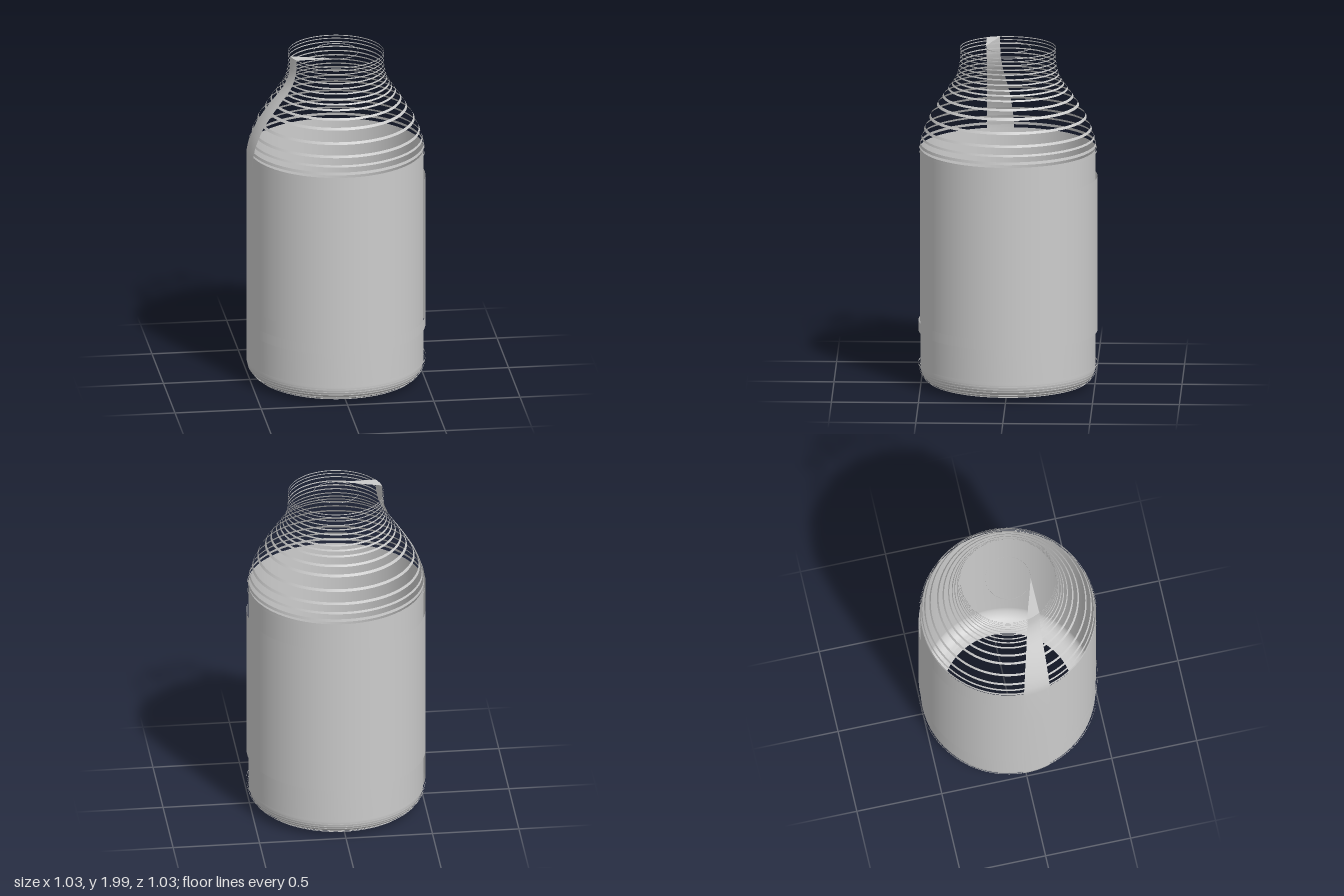
import * as THREE from 'three';

const material = new THREE.MeshStandardMaterial({ color: 0xcccccc, side: THREE.DoubleSide });

// Surface of revolution through [radius, y] points, optionally a partial arc.
function revolve(name, points, start = 0, end = Math.PI * 2, segments = 96) {
  const profile = points.map(([r, y]) => new THREE.Vector2(r, y));
  const mesh = new THREE.Mesh(new THREE.LatheGeometry(profile, segments, start, end - start), material);
  mesh.name = name;
  return mesh;
}

// Ribbon that hugs the round body on the -x side; rows are [radius, y, zMin, zMax].
function ribbon(name, rows, across = 8) {
  const positions = [], indices = [];
  rows.forEach(([r, y, z0, z1], row) => {
    for (let i = 0; i <= across; i++) {
      const z = z0 + (z1 - z0) * i / across;
      positions.push(-Math.sqrt(Math.max(0, r * r - z * z)), y, z);
      if (row && i) {
        const d = row * (across + 1) + i, c = d - 1, b = d - across - 1, a = b - 1;
        indices.push(a, b, c, b, d, c);
      }
    }
  });
  const geometry = new THREE.BufferGeometry();
  geometry.setAttribute('position', new THREE.Float32BufferAttribute(positions, 3));
  geometry.setIndex(indices);
  geometry.computeVertexNormals();
  const mesh = new THREE.Mesh(geometry, material);
  mesh.name = name;
  return mesh;
}

export function createModel() {
  const model = new THREE.Group();
  model.name = 'bottle';

  // Open body shell with a rounded base and a hole underneath
  const shell = [[0.38, 0.015], [0.41, 0.016]];
  for (let i = 0; i <= 8; i++) {
    const a = (i / 8) * Math.PI / 2;
    shell.push([0.41 + 0.093 * Math.sin(a), 0.11 - 0.092 * Math.cos(a)]);
  }
  shell.push([0.503, 0.4], [0.503, 1.0], [0.503, 1.395]);
  model.add(revolve('body', shell));

  // Wrapped panels just proud of the body
  model.add(
    revolve('backPanel', [[0.514, 0.32], [0.514, 1.23]], 1.3, 4.67, 64),
    revolve('lowerBand', [[0.514, 0.32], [0.514, 0.38]], -1.31, 1.3, 64),
    revolve('frontPanel', [[0.506, 0.38], [0.506, 1.39]], -0.82, 1.3, 48),
    revolve('sidePanel', [[0.507, 0.47], [0.507, 1.39]], -1.3, -0.87, 16)
  );

  // Thin rings tracing the shoulder and neck: [radius, y, height, inward lean]
  const rings = new THREE.Group();
  rings.name = 'shoulderRings';
  [
    [0.512, 1.385, 0.01, 0], [0.507, 1.42, 0.016, 0.003], [0.498, 1.463, 0.012, 0.005],
    [0.482, 1.515, 0.014, 0.007], [0.452, 1.585, 0.014, 0.008], [0.408, 1.657, 0.014, 0.009],
    [0.376, 1.705, 0.012, 0.008], [0.344, 1.75, 0.01, 0.006], [0.323, 1.777, 0.009, 0.005],
    [0.308, 1.803, 0.009, 0.004], [0.294, 1.832, 0.008, 0.003], [0.286, 1.862, 0.008, 0.002],
    [0.28, 1.89, 0.008, 0.001], [0.277, 1.917, 0.007, 0], [0.276, 1.945, 0.006, 0],
    [0.275, 1.967, 0.005, 0], [0.275, 1.985, 0.005, 0], [0.13, 1.987, 0.004, 0]
  ].forEach(([r, y, h, lean]) =>
    rings.add(revolve('ring', [[r, y - h / 2], [r - lean, y + h / 2]])));
  model.add(rings);

  // Fine ridges around the rounded base
  const ridges = new THREE.Group();
  ridges.name = 'baseRidges';
  [[0.515, 0.127, 0.008], [0.511, 0.1, 0.004], [0.506, 0.083, 0.004], [0.498, 0.066, 0.004],
    [0.483, 0.046, 0.004], [0.462, 0.029, 0.004]].forEach(([r, y, h]) =>
    ridges.add(revolve('ridge', [[r, y - h / 2], [r, y + h / 2]])));
  model.add(ridges);

  // Seam strip running up the side, over the shoulder and into a pointed tip
  model.add(ribbon('seamStrip', [
    [0.4, 0.01, -0.02, 0.13], [0.44, 0.018, -0.02, 0.13], [0.48, 0.04, -0.02, 0.13],
    [0.506, 0.075, -0.02, 0.13], [0.517, 0.12, -0.02, 0.135], [0.517, 1.0, -0.02, 0.135],
    [0.517, 1.4, -0.02, 0.135], [0.505, 1.463, -0.016, 0.135], [0.487, 1.515, -0.01, 0.134],
    [0.457, 1.585, -0.002, 0.133], [0.413, 1.657, 0.012, 0.132], [0.381, 1.705, 0.022, 0.131],
    [0.349, 1.75, 0.032, 0.13], [0.313, 1.803, 0.042, 0.13], [0.29, 1.862, 0.05, 0.13],
    [0.28, 1.917, 0.053, 0.13], [0.278, 1.988, 0.053, 0.13]
  ]));
  model.add(ribbon('stripTip', [
    [0.278, 1.988, 0.053, 0.13], [0.21, 1.988, 0.075, 0.129], [0.16, 1.988, 0.098, 0.128],
    [0.13, 1.988, 0.124, 0.127]
  ]));

  // Flat scrap of the strip folded under the base
  const outline = [[-0.41, 0.13], [-0.17, 0.125], [-0.25, 0.06], [-0.275, 0.03], [-0.31, 0.02],
    [-0.275, -0.01], [-0.3, -0.06], [-0.37, -0.09], [-0.41, -0.02]];
  const fold = new THREE.Mesh(
    new THREE.ShapeGeometry(new THREE.Shape(outline.map(([x, z]) => new THREE.Vector2(x, z)))),
    material);
  fold.name = 'stripFold';
  fold.rotation.x = Math.PI / 2;
  fold.position.y = 0.004;
  model.add(fold);

  return model;
}
